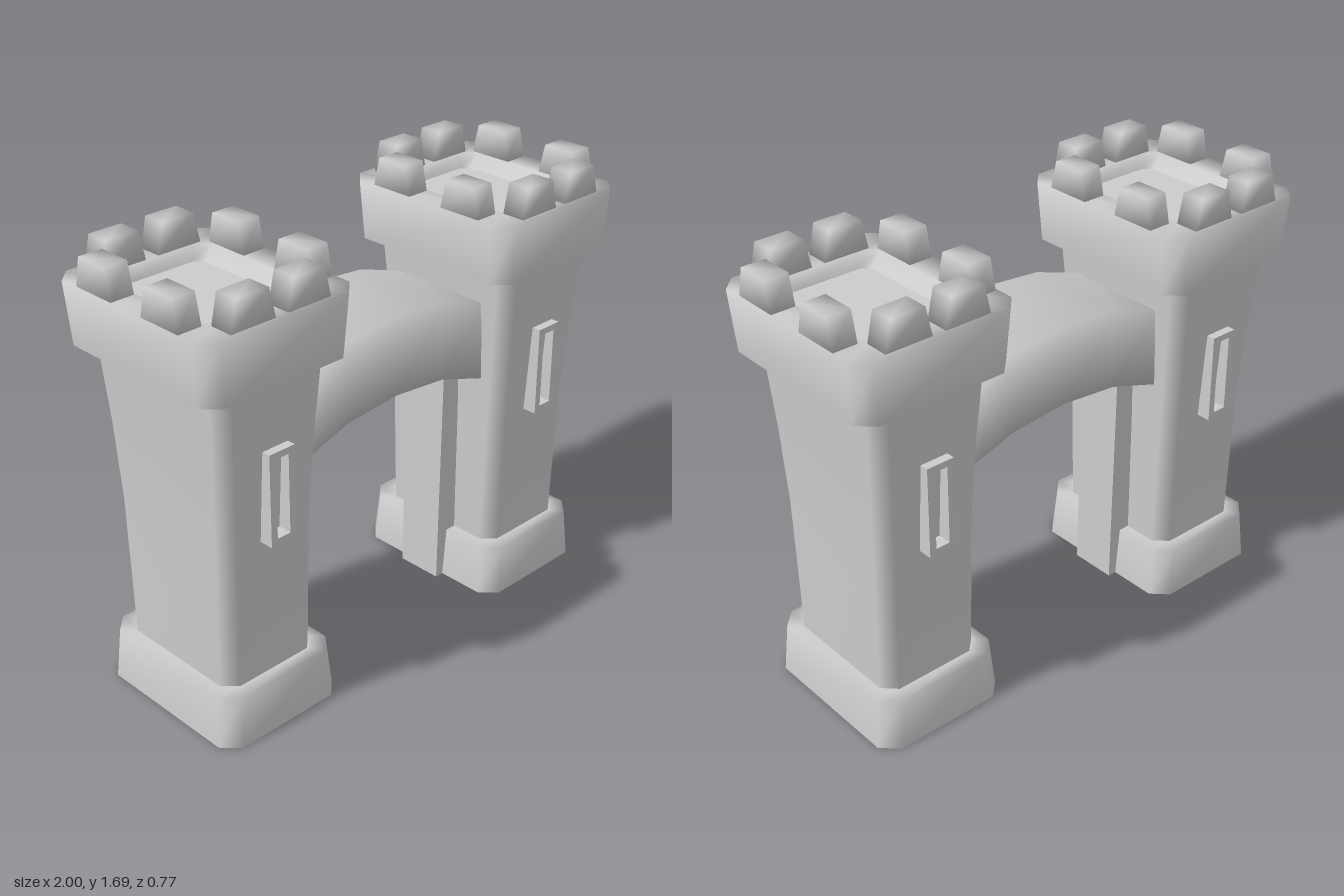
import * as THREE from 'three';
import { mergeVertices } from 'three/addons/utils/BufferGeometryUtils.js';

// Skin stacked chamfered rectangles; each section is [y, halfX, halfZ, chamfer]
function loft(sections, closeTop = false) {
  const pos = [], idx = [];
  for (const [y, x, z, c] of sections) {
    const ring = [[x, z - c], [x, c - z], [x - c, -z], [c - x, -z],
      [-x, c - z], [-x, z - c], [c - x, z], [x - c, z]];
    for (const [px, pz] of ring) pos.push(px, y, pz);
  }
  for (let s = 0; s < sections.length - 1; s++) {
    for (let i = 0; i < 8; i++) {
      const a = s * 8 + i, b = s * 8 + (i + 1) % 8;
      idx.push(a, b, b + 8, a, b + 8, a + 8);
    }
  }
  if (closeTop) {
    const o = (sections.length - 1) * 8;
    for (let i = 1; i < 7; i++) idx.push(o, o + i, o + i + 1);
  }
  const g = new THREE.BufferGeometry();
  g.setAttribute('position', new THREE.Float32BufferAttribute(pos, 3));
  g.setIndex(idx);
  g.computeVertexNormals();
  return g;
}

// Move every vertex by a rule
function reshape(g, rule) {
  const p = g.attributes.position, v = new THREE.Vector3();
  for (let i = 0; i < p.count; i++) {
    rule(v.fromBufferAttribute(p, i));
    p.setXYZ(i, v.x, v.y, v.z);
  }
  g.computeVertexNormals();
  return g;
}

// Share corner vertices so the shading runs smoothly over the edges
function soften(g) {
  g.deleteAttribute('normal');
  g.deleteAttribute('uv');
  g = mergeVertices(g);
  g.computeVertexNormals();
  return g;
}

export function createModel() {
  const root = new THREE.Group();
  root.name = 'gateway';
  const stone = new THREE.MeshStandardMaterial({ color: 0xcccccc, side: THREE.DoubleSide });
  stone.name = 'stone grey';

  const add = (parent, name, geometry, x = 0, y = 0, z = 0) => {
    const m = new THREE.Mesh(geometry, stone);
    m.name = name;
    m.position.set(x, y, z);
    parent.add(m);
    return m;
  };

  // Shared tower geometry
  const baseGeo = loft([[0, 0.27, 0.347, 0.06], [0.2, 0.252, 0.335, 0.06], [0.2, 0.205, 0.278, 0.05]]);
  const shaftGeo = loft([[0.2, 0.207, 0.28, 0.05], [0.75, 0.21, 0.294, 0.05],
    [1.05, 0.22, 0.313, 0.05], [1.35, 0.238, 0.337, 0.05]]);
  const underGeo = loft([[1.35, 0.236, 0.335, 0.05], [1.35, 0.312, 0.374, 0.06]]);
  const capGeo = loft([[1.35, 0.312, 0.374, 0.06], [1.58, 0.328, 0.385, 0.06],
    [1.58, 0.222, 0.272, 0.04], [1.53, 0.178, 0.25, 0.03]]);
  const floorGeo = loft([[1.53, 0.178, 0.25, 0.03]], true);

  // Merlon, tapered along its length only
  const merlonGeo = soften(reshape(new THREE.BoxGeometry(0.18, 0.11, 0.092), (v) => {
    if (v.y > 0) v.x *= 0.73;
  }));

  // Window frame with a tall slit
  const frame = new THREE.Shape([[-0.055, 0.75], [0.055, 0.75], [0.055, 1.1], [-0.055, 1.1]]
    .map(([x, y]) => new THREE.Vector2(x, y)));
  frame.holes.push(new THREE.Path([[-0.028, 0.775], [-0.028, 1.075], [0.028, 1.075], [0.028, 0.775]]
    .map(([x, y]) => new THREE.Vector2(x, y))));
  const frameGeo = new THREE.ExtrudeGeometry(frame, { depth: 0.07, bevelEnabled: false });

  // Pillar under the arch, leaning slightly outward at the foot
  const pillarGeo = reshape(new THREE.BoxGeometry(0.12, 0.97, 0.19), (v) => {
    if (v.x < 0 && v.y < 0) v.x -= 0.012;
  });

  for (const side of [-1, 1]) {
    const tower = new THREE.Group();
    tower.name = side > 0 ? 'leftTower' : 'rightTower';
    tower.position.x = side * 0.672;
    root.add(tower);
    add(tower, 'base', baseGeo);
    add(tower, 'shaft', shaftGeo);
    add(tower, 'capUnderside', underGeo);
    add(tower, 'cap', capGeo);
    add(tower, 'roofFloor', floorGeo);

    for (const s of [-1, 1]) {
      for (const t of [-1, 1]) {
        add(tower, 'merlon', merlonGeo, t * 0.116, 1.635, s * 0.321);
        add(tower, 'sideMerlon', merlonGeo, s * 0.274, 1.635, t * 0.166).rotation.y = Math.PI / 2;
      }
      const w = add(tower, 'windowFrame', frameGeo, 0, 0, s * 0.28);
      if (s < 0) w.rotation.y = Math.PI;
    }

    const pillar = add(root, 'pillar', pillarGeo, side * 0.438, 0.485, 0);
    if (side < 0) pillar.rotation.y = Math.PI;
  }

  // Arched bridge, open where it enters the towers
  const arch = new THREE.BoxGeometry(0.96, 0.31, 0.42, 4, 1, 1);
  arch.setIndex(Array.from(arch.index.array).slice(12));
  reshape(arch, (v) => { v.y -= 0.1 * Math.pow(Math.abs(v.x) / 0.48, 2.2); });
  add(root, 'arch', soften(arch), 0, 1.155, 0);

  return root;
}
